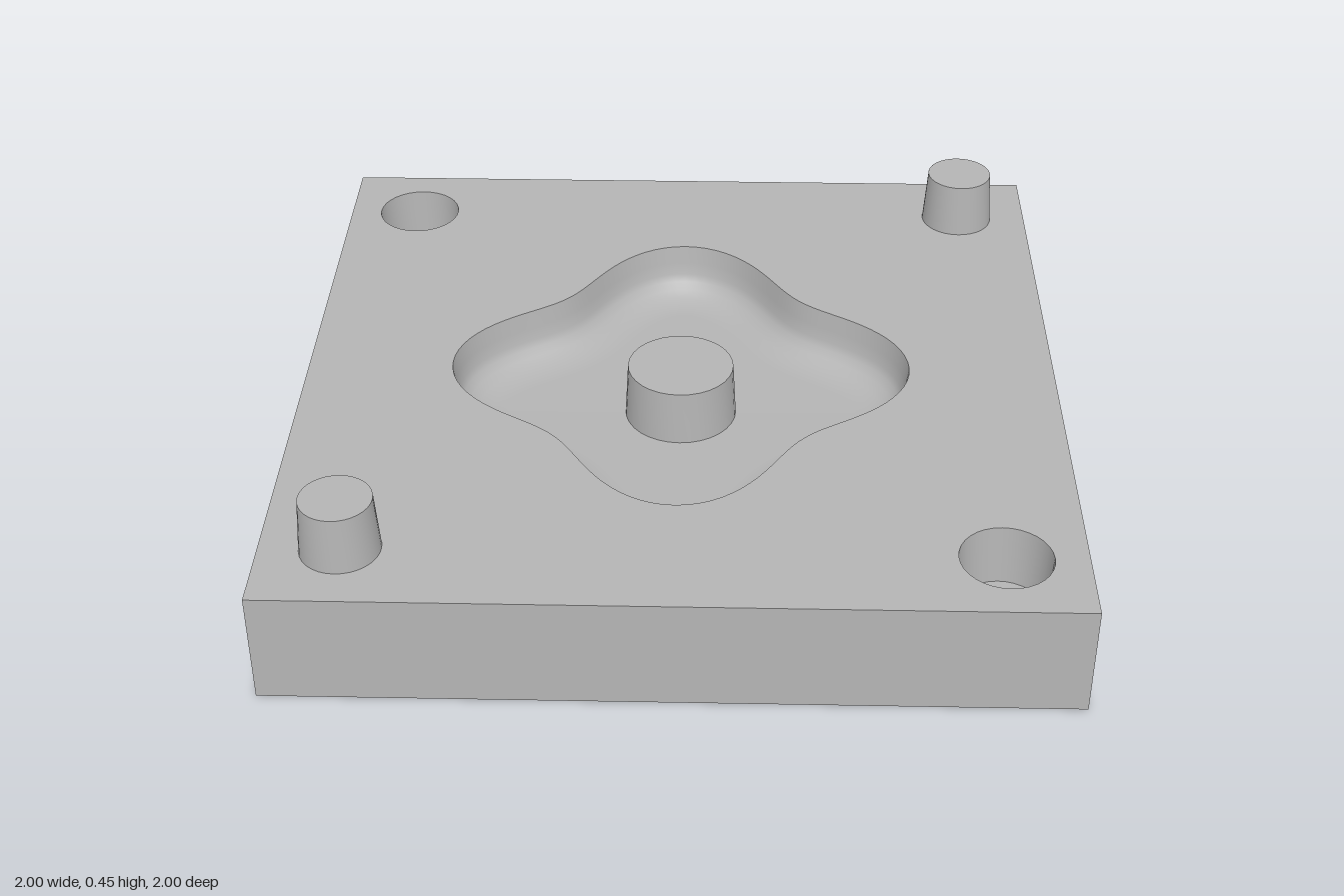
import * as THREE from 'three';
import { toCreasedNormals } from 'three/addons/utils/BufferGeometryUtils.js';

const TOP = 0.3, FLOOR = 0.15, SEGMENTS = 128;

// four-lobed outline, moved inward along its normal by inset; returns [x, z]
function outline(i, inset) {
  const a = (i / SEGMENTS) * Math.PI * 2;
  const r = 0.537 + 0.077 * Math.cos(4 * a);
  const dr = -0.308 * Math.sin(4 * a);
  const s = Math.sin(a), c = Math.cos(a);
  const tx = dr * s + r * c, tz = dr * c - r * s;
  const len = Math.hypot(tx, tz);
  return [r * s + (tz / len) * inset, r * c - (tx / len) * inset];
}

// drafted cavity wall, rounded into a flat floor
function cavityGeometry() {
  const profile = [[0, TOP], [0.008, 0.25], [0.014, 0.215], [0.024, 0.195], [0.042, 0.177],
    [0.068, 0.163], [0.1, 0.154], [0.14, FLOOR]];
  const positions = [], index = [];
  for (const [inset, y] of profile) {
    for (let i = 0; i < SEGMENTS; i++) {
      const [x, z] = outline(i, inset);
      positions.push(x, y, z);
    }
  }
  const centre = profile.length * SEGMENTS;
  positions.push(0, FLOOR, 0);
  for (let i = 0; i < SEGMENTS; i++) {
    const n = (i + 1) % SEGMENTS;
    for (let j = 0; j < profile.length - 1; j++) {
      const a = j * SEGMENTS + i, b = j * SEGMENTS + n;
      index.push(a, b, a + SEGMENTS, b + SEGMENTS, a + SEGMENTS, b);
    }
    index.push(centre - SEGMENTS + i, centre - SEGMENTS + n, centre);
  }
  const geo = new THREE.BufferGeometry();
  geo.setAttribute('position', new THREE.Float32BufferAttribute(positions, 3));
  geo.setIndex(index);
  geo.computeVertexNormals();
  return geo;
}

// tapered round wall closed by a flat disc: rising makes a pin, falling a socket
function taper(r0, y0, r1, y1) {
  const points = [[r0, y0], [r1, y1], [0, y1]].map(p => new THREE.Vector2(...p));
  return toCreasedNormals(new THREE.LatheGeometry(points, 32), 0.6);
}

export function createModel() {
  const group = new THREE.Group();
  const grey = new THREE.MeshStandardMaterial({ color: 0xb4b4b4 });
  grey.name = 'plain grey';
  const add = (name, geo, x = 0, z = 0) => {
    const mesh = new THREE.Mesh(geo, grey);
    mesh.name = name;
    mesh.position.set(x, 0, z);
    group.add(mesh);
  };

  // top face with openings for the cavity and the two sockets
  const face = new THREE.Shape([[-1, -1], [1, -1], [1, 1], [-1, 1]].map(p => new THREE.Vector2(...p)));
  const rim = [];
  for (let i = 0; i < SEGMENTS; i++) {
    const [x, z] = outline(i, 0);
    rim.push(new THREE.Vector2(x, -z));
  }
  face.holes.push(new THREE.Path(rim));
  for (const s of [-1, 1]) {
    const hole = [];
    for (let i = 0; i < 32; i++) {
      const a = (i / 32) * Math.PI * 2;
      hole.push(new THREE.Vector2(s * 0.8 + 0.115 * Math.sin(a), -s * 0.8 - 0.115 * Math.cos(a)));
    }
    face.holes.push(new THREE.Path(hole));
  }
  add('blockTop', new THREE.ShapeGeometry(face).rotateX(-Math.PI / 2).translate(0, TOP, 0));

  // outer sides and underside
  for (let i = 0; i < 4; i++) {
    add('blockSide', new THREE.PlaneGeometry(2, TOP).translate(0, TOP / 2, 1).rotateY(i * Math.PI / 2));
  }
  add('blockBottom', new THREE.PlaneGeometry(2, 2).rotateX(Math.PI / 2));

  // moulded cavity with its central core
  add('cavity', cavityGeometry());
  add('cavityCore', taper(0.15, FLOOR, 0.142, TOP));

  // alignment pins and sockets on opposite corners
  for (const s of [-1, 1]) {
    add('alignmentPin', taper(0.1, TOP, 0.09, 0.45), s * 0.8, -s * 0.8);
    add('alignmentSocket', taper(0.115, TOP, 0.105, 0.14), s * 0.8, s * 0.8);
  }
  return group;
}
